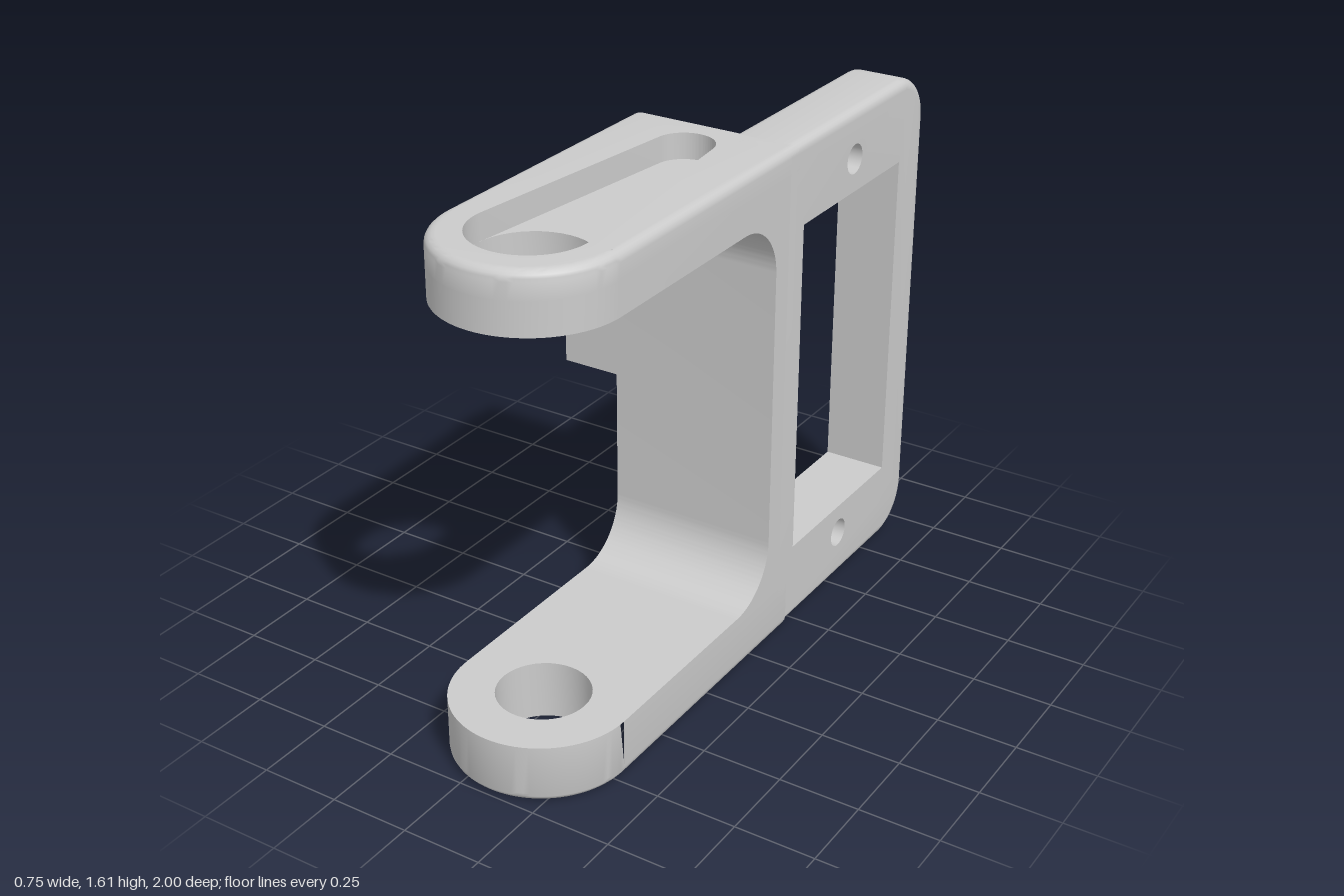
import * as THREE from 'three';
import { mergeGeometries, toCreasedNormals } from 'three/addons/utils/BufferGeometryUtils.js';

const BEVEL = 0.03;
const material = new THREE.MeshStandardMaterial({ color: 0xcccccc });

// Wall through a stack of equal-sized rings; inward = true for hole walls
function wall(rings, inward = false) {
  const pos = [], index = [], n = rings[0].pts.length;
  for (const { pts, z } of rings) for (const p of pts) pos.push(p.x, p.y, z);
  for (let r = 0; r < rings.length - 1; r++) {
    for (let i = 0; i < n; i++) {
      const a = r * n + i, b = r * n + (i + 1) % n, c = a + n, d = b + n;
      if (inward) index.push(a, d, b, a, c, d);
      else index.push(a, b, d, a, d, c);
    }
  }
  const g = new THREE.BufferGeometry();
  g.setAttribute('position', new THREE.Float32BufferAttribute(pos, 3));
  g.setIndex(index);
  return g.toNonIndexed();
}

function cap(pts, holes, z, flip) {
  const shape = new THREE.Shape(pts);
  shape.holes = holes.map(h => new THREE.Path(h));
  let g = new THREE.ShapeGeometry(shape);
  g.deleteAttribute('uv');
  g.deleteAttribute('normal');
  if (flip) g.setIndex(Array.from(g.index.array).reverse());
  g = g.toNonIndexed();
  return g.translate(0, 0, z);
}

// Prism from z0 to z1; outer edges may be rounded at either end, holes stay sharp.
// outline(inset) returns a counter-clockwise list of points.
function prism(outline, holes, z0, z1, round0 = false, round1 = false) {
  const rings = [], steps = 5;
  const ring = (z, inset) => rings.push({ pts: outline(inset), z });
  const arc = (i, base, sign) => {
    const t = i / steps * Math.PI / 2;
    ring(base + sign * BEVEL * (1 - Math.sin(t)), BEVEL * (1 - Math.cos(t)));
  };
  if (round0) for (let i = steps; i >= 0; i--) arc(i, z0, 1);
  else ring(z0, 0);
  if (round1) for (let i = 0; i <= steps; i++) arc(i, z1, -1);
  else ring(z1, 0);
  const parts = [
    wall(rings),
    cap(rings[0].pts, holes, z0, true),
    cap(rings[rings.length - 1].pts, holes, z1, false),
    ...holes.map(h => wall([{ pts: h, z: z0 }, { pts: h, z: z1 }], true)),
  ];
  return toCreasedNormals(mergeGeometries(parts), 0.6);
}

const rect = (u0, v0, u1, v1) =>
  [[u0, v0], [u1, v0], [u1, v1], [u0, v1]].map(p => new THREE.Vector2(...p));

const circle = (u, v, r, n = 40) => Array.from({ length: n }, (_, i) =>
  new THREE.Vector2(u + r * Math.cos(i / n * 2 * Math.PI), v + r * Math.sin(i / n * 2 * Math.PI)));

// Arm plan (u = x, v = -z): round front end, one rounded back corner
function armPlan(d) {
  const r = 0.275 - d, c = 0.032 - d, back = 0.2 - d, left = 0.095 - r;
  return new THREE.Shape()
    .moveTo(0.095 + r, -0.72).lineTo(0.095 + r, back).lineTo(left + c, back)
    .absarc(left + c, back - c, c, Math.PI / 2, Math.PI, false)
    .lineTo(left, -0.72)
    .absarc(0.095, -0.72, r, Math.PI, 2 * Math.PI, false)
    .getPoints(24);
}

// Tapered recess in the top arm: hull of a large and a small circle
function taperSlot() {
  const a = Math.asin((0.175 - 0.09) / 0.74);
  return new THREE.Shape()
    .absarc(0.095, 0.02, 0.09, a, Math.PI - a, false)
    .absarc(0.095, -0.72, 0.175, Math.PI - a, 2 * Math.PI + a, false)
    .getPoints(28);
}

// Frame plate outline (u = -z, v = y) with large rear corners
function plateSide(d) {
  const u0 = 0.12 + d, u1 = 1 - d, v0 = 0.01 + d, v1 = 1.61 - d, r = 0.155 - d;
  return new THREE.Shape()
    .moveTo(u0, v0).lineTo(u1 - r, v0)
    .absarc(u1 - r, v0 + r, r, -Math.PI / 2, 0, false)
    .lineTo(u1, v1 - r)
    .absarc(u1 - r, v1 - r, r, 0, Math.PI / 2, false)
    .lineTo(u0, v1)
    .getPoints(16);
}

// Web side profile (u = -z, v = y) with fillets into both arms
function webSide() {
  return new THREE.Shape()
    .moveTo(0.15, 0.185).lineTo(0.15, 1.43).lineTo(-0.1, 1.43)
    .absarc(-0.1, 1.25, 0.18, Math.PI / 2, 0, true)
    .lineTo(0.08, 0.365)
    .absarc(-0.1, 0.365, 0.18, 0, -Math.PI / 2, true)
    .getPoints(20);
}

// Back of the web in plan, with a rounded free corner
function webBackPlan() {
  const c = 0.032;
  return new THREE.Shape()
    .moveTo(-0.18, 0.1).lineTo(0.37, 0.1).lineTo(0.37, 0.2).lineTo(-0.18 + c, 0.2)
    .absarc(-0.18 + c, 0.2 - c, c, Math.PI / 2, Math.PI, false)
    .getPoints(24);
}

export function createModel() {
  const group = new THREE.Group();
  const add = (name, geometry) => {
    const mesh = new THREE.Mesh(geometry, material);
    mesh.name = name;
    group.add(mesh);
  };
  const upright = g => g.rotateX(-Math.PI / 2); // plan -> height along y
  const sideways = g => g.rotateY(Math.PI / 2); // side profile -> width along x

  // Fork arms: the top one carries the tapered recess
  add('bottomArm', upright(prism(armPlan, [circle(0.095, -0.72, 0.14)], 0, 0.185, true, false)));
  add('topArmLower', upright(prism(armPlan, [circle(0.095, -0.72, 0.175)], 1.43, 1.53)));
  add('topArmRecessed', upright(prism(armPlan, [taperSlot()], 1.53, 1.61, false, true)));

  // Web joining the arms
  add('webFront', sideways(prism(webSide, [], -0.18, 0.37)));
  add('webBack', upright(prism(webBackPlan, [], 0.185, 1.43)));

  // Frame plate with window and two screw holes
  const plateHoles = [
    rect(0.235, 0.27, 0.84, 1.35),
    circle(0.54, 1.455, 0.047, 28),
    circle(0.54, 0.17, 0.047, 28),
  ];
  add('framePlate', sideways(prism(plateSide, plateHoles, 0.165, 0.37, true, true)));

  // Side tab with two blind screw holes in its end
  const tab = () => rect(0.09, 0.78, 0.245, 1.33);
  const tabHoles = [0.915, 1.195].map(y => circle(0.167, y, 0.035, 24));
  add('tabEnd', sideways(prism(tab, tabHoles, -0.375, -0.15)));
  add('tabRoot', sideways(prism(tab, [], -0.15, 0.165)));

  return group;
}
